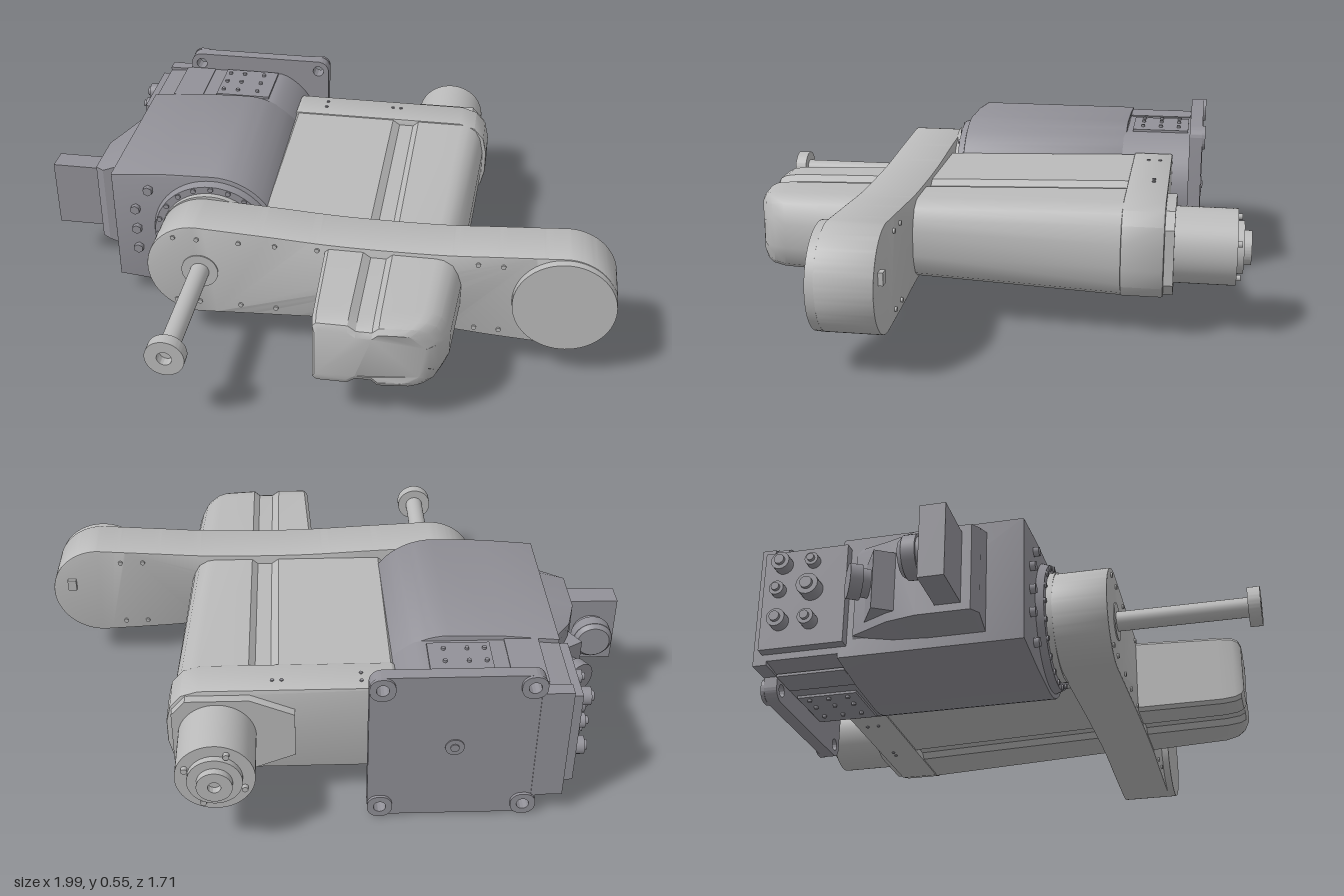
import * as THREE from 'three';
import { toCreasedNormals } from 'three/addons/utils/BufferGeometryUtils.js';

const light = new THREE.MeshStandardMaterial({ color: 0xbababa });
light.name = 'light grey';
const dark = new THREE.MeshStandardMaterial({ color: 0x929198 });
dark.name = 'dark grey';

const CY = 0.28; // height of the main axis
const V = (x, y) => new THREE.Vector2(x, y);

// Extrude a shape between two z values
function extrude(shape, z0, z1, bevel = 0) {
  const g = new THREE.ExtrudeGeometry(shape, {
    depth: z1 - z0 - 2 * bevel, curveSegments: 32, bevelEnabled: bevel > 0,
    bevelSize: bevel, bevelThickness: bevel, bevelOffset: -bevel, bevelSegments: 2,
  });
  g.translate(0, 0, z0 + bevel);
  return toCreasedNormals(g, 0.6);
}

// Cylinder along z
function rod(x, y, r, z0, z1, r2 = r, sides = 40) {
  const g = new THREE.CylinderGeometry(r2, r, z1 - z0, sides);
  g.rotateX(Math.PI / 2);
  return g.translate(x, y, (z0 + z1) / 2);
}

// Box from its limits
function box(x0, x1, y0, y1, z0, z1) {
  return new THREE.BoxGeometry(x1 - x0, y1 - y0, z1 - z0)
    .translate((x0 + x1) / 2, (y0 + y1) / 2, (z0 + z1) / 2);
}

function roundRect(x0, x1, y0, y1, r) {
  const s = new THREE.Shape();
  s.absarc(x1 - r, y1 - r, r, 0, Math.PI / 2);
  s.absarc(x0 + r, y1 - r, r, Math.PI / 2, Math.PI);
  s.absarc(x0 + r, y0 + r, r, Math.PI, Math.PI * 1.5);
  s.absarc(x1 - r, y0 + r, r, Math.PI * 1.5, Math.PI * 2);
  return s;
}

// Skin cross-sections [{ z, pts }], counter-clockwise, z increasing, ends closed
function loft(sections, warp = (p) => p) {
  const n = sections[0].pts.length, pos = [], idx = [];
  for (const s of sections) for (const p of s.pts) pos.push(...warp([p.x, p.y, s.z]));
  for (let k = 0; k < sections.length - 1; k++) {
    for (let i = 0; i < n; i++) {
      const a = k * n + i, b = k * n + ((i + 1) % n);
      idx.push(a, b, b + n, a, b + n, a + n);
    }
  }
  const last = (sections.length - 1) * n;
  for (const [a, b, c] of THREE.ShapeUtils.triangulateShape(sections[0].pts, [])) idx.push(a, c, b);
  for (const [a, b, c] of THREE.ShapeUtils.triangulateShape(sections[sections.length - 1].pts, []))
    idx.push(last + a, last + b, last + c);
  const g = new THREE.BufferGeometry();
  g.setAttribute('position', new THREE.Float32BufferAttribute(pos, 3));
  g.setIndex(idx);
  return toCreasedNormals(g, 0.55);
}

// Housing outline: flat top and bottom with one groove, rounded right flank
function housing(x0, x1, h) {
  const top = [
    V(x1, 0.04), V(x1 - 0.012, h - 0.055), V(x1 - 0.03, h - 0.022), V(x1 - 0.06, h - 0.004), V(x1 - 0.085, h),
    V(0.265, h), V(0.245, h - 0.018), V(0.195, h - 0.018), V(0.17, h), V(x0 + 0.012, h), V(x0, h - 0.012),
  ];
  const bottom = top.map((p) => V(p.x, -p.y)).reverse();
  return [...top, ...bottom].map((p) => V(p.x, p.y + CY));
}

// Base outline: square on the left, half round on the right, cut flat at height h
function baseShape(h) {
  const cx = -0.375, r = 0.23, pts = [];
  for (let i = 0; i <= 32; i++) {
    const a = -Math.PI / 2 + (Math.PI * i) / 32;
    pts.push(V(cx + r * Math.cos(a), CY + THREE.MathUtils.clamp(r * Math.sin(a), -h, h)));
  }
  const l = Math.min(h, 0.225);
  pts.push(V(-0.55, CY + l), V(-0.73, CY + l - 0.018), V(-0.73, CY - l + 0.018), V(-0.55, CY - l));
  return new THREE.Shape(pts);
}

export function createModel() {
  const model = new THREE.Group();
  const group = (name) => {
    const g = new THREE.Group();
    g.name = name;
    model.add(g);
    return g;
  };
  const add = (parent, name, geo, mat) => {
    const m = new THREE.Mesh(geo, mat);
    m.name = name;
    parent.add(m);
    return m;
  };

  // Base column
  const base = group('base');
  add(base, 'baseColumn', extrude(baseShape(0.23), -0.42, 0.17, 0.006), dark);
  add(base, 'baseRear', extrude(baseShape(0.21), -0.655, -0.41), dark);
  add(base, 'baseRearEdge', box(-0.73, -0.63, 0.075, 0.485, -0.695, -0.65), dark);
  add(base, 'neckFlange', rod(-0.375, CY, 0.215, 0.165, 0.195, 0.205, 64), dark);
  add(base, 'neck', rod(-0.375, CY, 0.18, 0.19, 0.215, 0.18, 64), light);
  for (let i = 0; i < 20; i++) {
    const a = (i / 20) * Math.PI * 2;
    add(base, 'flangeScrew', rod(-0.375 + 0.195 * Math.cos(a), CY + 0.195 * Math.sin(a), 0.009, 0.19, 0.201, 0.009, 10), dark);
  }
  for (const [x, y] of [[-0.65, 0.36], [-0.65, 0.28], [-0.65, 0.2], [-0.6, 0.44], [-0.6, 0.12]])
    add(base, 'faceBolt', rod(x, y, 0.017, 0.165, 0.188, 0.017, 6), dark);

  // Screwed access covers above and below
  for (const s of [1, -1]) {
    const flat = (x0, x1, a, b, z0, z1) => box(x0, x1, CY + Math.min(s * a, s * b), CY + Math.max(s * a, s * b), z0, z1);
    add(base, 'accessCover', flat(-0.5, -0.3, 0.205, 0.218, -0.64, -0.44), dark);
    add(base, 'sideCover', flat(-0.66, -0.55, 0.205, 0.214, -0.645, -0.42), dark);
    for (const x of [-0.48, -0.425, -0.35])
      for (const z of [-0.605, -0.54, -0.475])
        add(base, 'coverScrew', new THREE.CylinderGeometry(0.007, 0.007, 0.012, 10).translate(x, CY + s * 0.22, z), dark);
  }

  // Mounting plate with raised corner lugs
  const plateHole = (s, x, y) => s.holes.push(new THREE.Path().absarc(x, y, 0.02, 0, Math.PI * 2, true));
  const corners = [[-0.605, 1], [-0.145, -1]].flatMap(([x, sx]) => [[x, 0.043, sx, 1], [x, 0.513, sx, -1]]);
  const plate = roundRect(-0.645, -0.105, 0.003, 0.553, 0.04);
  corners.forEach(([x, y]) => plateHole(plate, x, y));
  add(base, 'mountingPlate', extrude(plate, -0.692, -0.648), dark);
  for (const [x, y] of corners) {
    const lug = roundRect(x - 0.04, x + 0.04, y - 0.04, y + 0.04, 0.035);
    plateHole(lug, x, y);
    add(base, 'plateLug', extrude(lug, -0.702, -0.69), dark);
  }
  add(base, 'plateCentre', extrude(new THREE.Shape().absarc(-0.375, CY, 0.03, 0, Math.PI * 2), -0.696, -0.69), dark);
  add(base, 'plateCentreBoss', rod(-0.375, CY, 0.014, -0.7, -0.69), dark);

  // Tapered cable box on the side of the base
  const cable = group('cableBox');
  const wedge = (z, x0, h) => ({ z, pts: [V(x0, CY - h), V(-0.72, CY - h - 0.03), V(-0.72, CY + h + 0.03), V(x0, CY + h)] });
  add(cable, 'cableBoxBody', loft([wedge(-0.37, -0.735, 0.14), wedge(-0.24, -0.8, 0.14), wedge(-0.14, -0.83, 0.145), wedge(0.03, -0.83, 0.145), wedge(0.05, -0.8, 0.145)]), dark);
  add(cable, 'cableBlock', box(-1, -0.82, 0.16, 0.4, -0.08, 0), dark);
  add(cable, 'cableCollar', rod(-0.915, CY, 0.06, -0.1, -0.078), dark);
  add(cable, 'cableCap', rod(-0.915, CY, 0.068, -0.14, -0.098), dark);
  add(cable, 'cableCapRim', rod(-0.915, CY, 0.055, -0.155, -0.138, 0.068), dark);
  // Angled plug
  const plug = new THREE.Group();
  plug.name = 'angledPlug';
  plug.position.set(-0.77, CY, -0.26);
  plug.rotation.y = Math.atan2(-0.06, -0.1);
  cable.add(plug);
  add(plug, 'plugBase', box(-0.055, 0.055, -0.11, 0.09, -0.03, 0.05), dark);
  add(plug, 'plugBarrel', rod(0, 0, 0.045, 0.04, 0.1), dark);
  add(plug, 'plugRing', rod(0, 0, 0.055, 0.075, 0.115), dark);

  // Connector panel
  add(cable, 'connectorPanel', box(-0.765, -0.72, 0.11, 0.45, -0.665, -0.39), dark);
  for (const [y, z, r, d] of [[0.4, -0.6, 0.03, 0.04], [0.4, -0.5, 0.022, 0.03], [0.31, -0.61, 0.024, 0.03], [0.3, -0.5, 0.036, 0.05], [0.2, -0.6, 0.03, 0.04], [0.19, -0.5, 0.026, 0.045]]) {
    add(cable, 'connectorSocket', new THREE.CylinderGeometry(r, r, d, 20).rotateZ(Math.PI / 2).translate(-0.762 - d / 2, y, z), dark);
    add(cable, 'connectorPin', new THREE.CylinderGeometry(r * 0.55, r * 0.55, 0.015, 16).rotateZ(Math.PI / 2).translate(-0.765 - d, y, z), dark);
  }

  // Long swing arm
  const arm = group('arm');
  const outline = new THREE.Shape();
  outline.absarc(-0.385, CY, 0.17, Math.PI / 2, Math.PI * 1.5);
  outline.splineThru([V(-0.15, 0.123), V(0.1, 0.135), V(0.4, 0.14), V(0.6, 0.127), V(0.82, 0.115)]);
  outline.absarc(0.82, 0.285, 0.17, -Math.PI / 2, Math.PI / 2);
  outline.splineThru([V(0.6, 0.44), V(0.4, 0.428), V(0.1, 0.427), V(-0.15, 0.439), V(-0.385, 0.45)]);
  add(arm, 'armBody', extrude(outline, 0.21, 0.39, 0.004), light);
  add(arm, 'endDisc', rod(0.822, 0.283, 0.168, 0.385, 0.415, 0.166, 64), light);
  add(arm, 'sensorBlock', box(0.905, 0.935, 0.3, 0.34, 0.195, 0.215), light);
  for (const x of [-0.46, -0.38, -0.24, -0.12, 0.02, 0.54, 0.62])
    for (const y of [0.155, 0.405]) {
      add(arm, 'armScrew', rod(x, y, 0.008, 0.385, 0.396, 0.008, 10), light);
      if (x > 0.5) add(arm, 'armScrew', rod(x + 0.12, y, 0.008, 0.203, 0.215, 0.008, 10), light);
    }

  // Tool spindle with hollow end
  const tool = group('spindle');
  add(tool, 'spindleCollar', rod(-0.375, CY, 0.062, 0.385, 0.394), light);
  add(tool, 'spindleRod', rod(-0.375, CY, 0.032, 0.385, 0.82), light);
  const ring = new THREE.Shape().absarc(-0.375, CY, 0.063, 0, Math.PI * 2);
  ring.holes.push(new THREE.Path().absarc(-0.375, CY, 0.024, 0, Math.PI * 2, true));
  add(tool, 'spindleEnd', extrude(ring, 0.812, 0.852), light);

  // Grooved front cover with a rounded nose
  const nose = ([x, y, z]) => {
    const t = THREE.MathUtils.clamp((z - 0.39) / 0.36, 0, 1), u = Math.max(0, (x - 0.23) / 0.25);
    return [x, y, z - 0.07 * t * t * u * u * u];
  };
  add(model, 'frontCover', loft([
    { z: 0.38, pts: housing(0.045, 0.49, 0.133) },
    { z: 0.68, pts: housing(0.057, 0.475, 0.126) },
    { z: 0.725, pts: housing(0.059, 0.463, 0.12) },
    { z: 0.745, pts: housing(0.062, 0.445, 0.11) },
    { z: 0.755, pts: housing(0.07, 0.42, 0.092) },
  ], nose), light);

  // Main housing behind the arm
  const body = group('mainHousing');
  add(body, 'housingBody', loft([
    { z: -0.46, pts: housing(-0.2, 0.51, 0.152) },
    { z: 0.22, pts: housing(-0.2, 0.485, 0.13) },
  ]), light);
  const cap = roundRect(-0.2, 0.522, CY - 0.157, CY + 0.157, 0.012);
  const capEnd = new THREE.Shape([
    ...cap.getPoints(4).filter((p) => p.x < 0.3),
    V(0.42, CY - 0.157), V(0.475, CY - 0.14), V(0.51, CY - 0.1), V(0.524, CY - 0.04),
    V(0.524, CY + 0.04), V(0.51, CY + 0.1), V(0.475, CY + 0.14), V(0.42, CY + 0.157),
  ]);
  add(body, 'rearCap', extrude(capEnd, -0.59, -0.455, 0.006), light);
  for (const s of [1, -1])
    for (const [x, z] of [[-0.09, -0.55], [-0.09, -0.51], [0.16, -0.54], [0.19, -0.54]])
      add(body, 'capScrew', new THREE.CylinderGeometry(0.006, 0.006, 0.008, 8).translate(x, CY + s * 0.157, z), dark);

  // Rear motor
  const motor = group('motor');
  add(motor, 'motorPlate', extrude(new THREE.Shape([
    V(0.12, 0.2), V(0.26, 0.145), V(0.46, 0.145), V(0.505, 0.19), V(0.505, 0.37), V(0.46, 0.42), V(0.26, 0.42), V(0.12, 0.36),
  ]), -0.62, -0.585), light);
  add(motor, 'motorBody', rod(0.365, 0.283, 0.123, -0.815, -0.615, 0.123, 64), light);
  add(motor, 'motorFace', rod(0.365, 0.283, 0.085, -0.836, -0.81), light);
  const hub = new THREE.Shape().absarc(0.365, 0.283, 0.055, 0, Math.PI * 2);
  hub.holes.push(new THREE.Path().absarc(0.365, 0.283, 0.02, 0, Math.PI * 2, true));
  add(motor, 'motorHub', extrude(hub, -0.86, -0.83), light);
  for (let i = 0; i < 4; i++) {
    const a = (i / 4) * Math.PI * 2 + 0.4;
    add(motor, 'motorScrew', rod(0.365 + 0.098 * Math.cos(a), 0.283 + 0.098 * Math.sin(a), 0.01, -0.83, -0.81, 0.01, 10), light);
  }
  return model;
}
